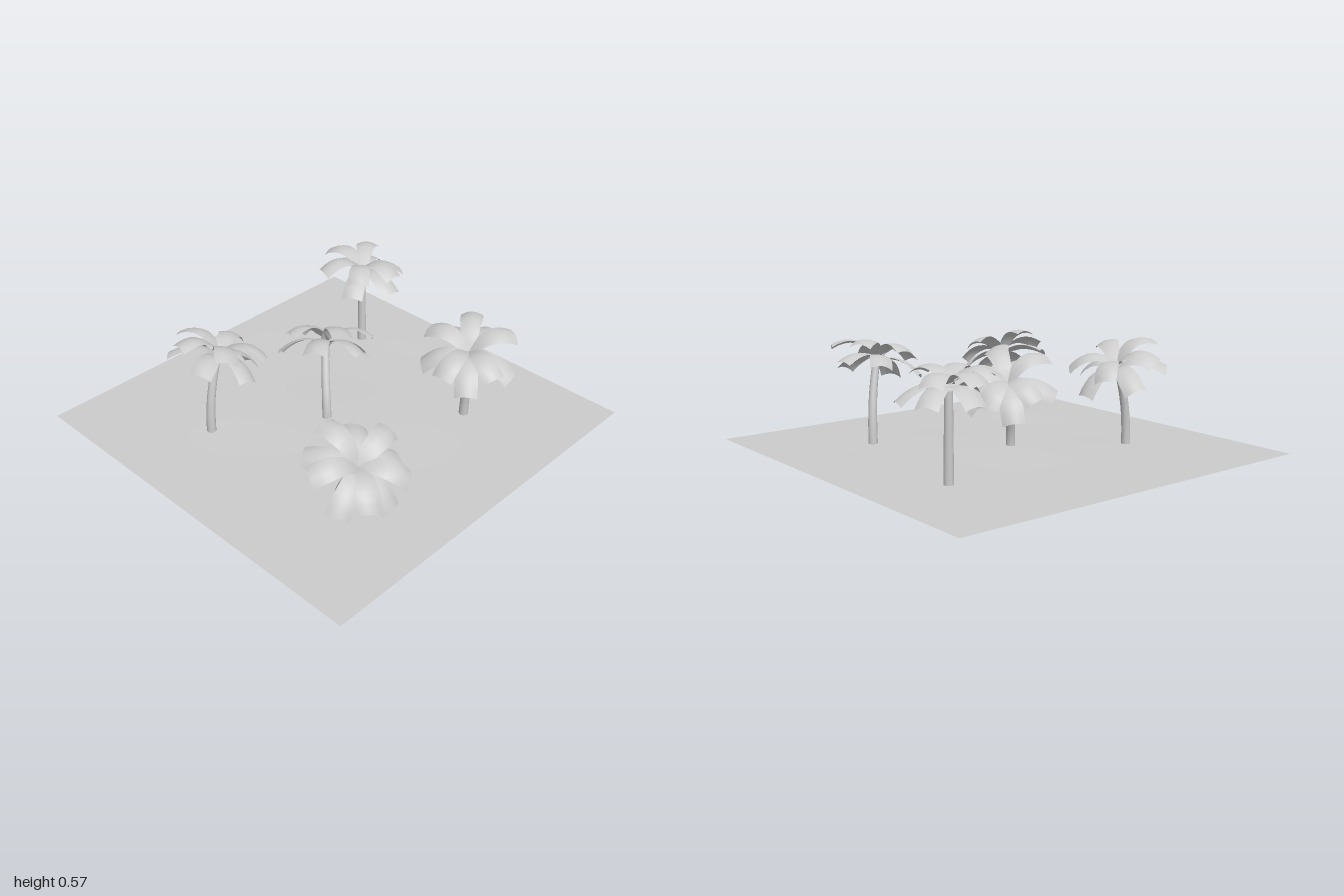
import * as THREE from 'three';

const UP = new THREE.Vector3(0, 1, 0);
const trunkMat = new THREE.MeshStandardMaterial({ color: 0xcccccc });
const thinMat = new THREE.MeshStandardMaterial({ color: 0xcccccc, side: THREE.DoubleSide });

// Each palm: trunk base, trunk top, direction the top leans to, frond angles in degrees (0 = +x, 90 = -z)
const PALMS = [
  { base: [-0.53, 0, -0.35], top: [-0.45, 0.42, -0.365], lean: [0.35, 0.93, -0.03],
    angles: [100, 63, 30, -5, -50, -88, -123, -150, 172, 130] },
  { base: [-0.05, 0.015, -0.02], top: [0.055, 0.36, -0.13], lean: [0.4, 0.85, -0.33],
    angles: [85, 55, 25, -15, -50, -85, -115, -150, 175, 125] },
  { base: [0.61, 0.02, -0.4], top: [0.61, 0.45, -0.405], lean: [0, 1, 0],
    angles: [90, -18, 35, -150, 160, 85, -90, 30, -142, -93] },
  { base: [0.46, 0, 0.45], top: [0.4, 0.43, 0.5], lean: [-0.25, 0.95, 0.12],
    angles: [95, 65, 35, 12, -30, -80, -110, -145, -175, 135] },
  { base: [-0.48, 0.02, 0.48], top: [-0.53, 0.35, 0.63], lean: [-0.12, 0.85, 0.46],
    angles: [90, 45, 10, -20, -55, -85, -120, -150, 160, 125] },
];

// Ground sheet with faint undulation
function makeGround() {
  const geo = new THREE.PlaneGeometry(2, 2, 24, 24).rotateX(-Math.PI / 2);
  const p = geo.attributes.position;
  for (let i = 0; i < p.count; i++) {
    const x = p.getX(i), z = p.getZ(i);
    const fade = (1 - x * x) * (1 - z * z);
    p.setY(i, 0.031 + 0.007 * fade * Math.sin(5 * x + 1) * Math.cos(4 * z - 0.6));
  }
  geo.computeVertexNormals();
  const mesh = new THREE.Mesh(geo, thinMat);
  mesh.name = 'ground';
  return mesh;
}

// Tapered cylinder bent along a curve
function makeTrunk(base, top, lean) {
  const rise = (top.y - base.y) * 0.4;
  const curve = new THREE.CubicBezierCurve3(base, base.clone().addScaledVector(UP, rise),
    top.clone().addScaledVector(lean, -rise), top);
  const geo = new THREE.CylinderGeometry(0.019, 0.024, 1, 12, 12);
  const p = geo.attributes.position, n = geo.attributes.normal;
  const v = new THREE.Vector3(), q = new THREE.Quaternion();
  for (let i = 0; i < p.count; i++) {
    const t = THREE.MathUtils.clamp(p.getY(i) + 0.5, 0, 1);
    q.setFromUnitVectors(UP, curve.getTangent(t));
    v.set(p.getX(i), 0, p.getZ(i)).applyQuaternion(q).add(curve.getPoint(t));
    p.setXYZ(i, v.x, v.y, v.z);
    v.fromBufferAttribute(n, i).applyQuaternion(q);
    n.setXYZ(i, v.x, v.y, v.z);
  }
  const mesh = new THREE.Mesh(geo, trunkMat);
  mesh.name = 'trunk';
  return mesh;
}

// Broad ribbon along +x, widening outward, arched across and drooping at the tip
function makeFrondGeometry(start, slope, droop) {
  const geo = new THREE.PlaneGeometry(1, 1, 8, 6).rotateX(-Math.PI / 2);
  const p = geo.attributes.position;
  for (let i = 0; i < p.count; i++) {
    const t = p.getX(i) + 0.5, u = p.getZ(i);
    const width = 0.06 + 0.05 * Math.min(1, t * 1.5);
    const y = start + slope * t - droop * t * t - 0.07 * u * u * t;
    p.setXYZ(i, 0.235 * t - 0.03 * u * u * t, y, u * width);
  }
  geo.computeVertexNormals();
  return geo;
}

export function createModel() {
  const model = new THREE.Group();
  model.name = 'palmGrove';
  model.add(makeGround());
  const upper = makeFrondGeometry(0.03, 0.24, 0.21);
  const lower = makeFrondGeometry(0.01, 0.13, 0.17);

  for (const { base, top, lean, angles } of PALMS) {
    const tip = new THREE.Vector3(...top);
    const axis = new THREE.Vector3(...lean).normalize();
    const palm = new THREE.Group();
    palm.name = 'palm';
    palm.add(makeTrunk(new THREE.Vector3(...base), tip, axis));

    // Crown tilts with the end of the trunk; fronds alternate between two tiers
    const crown = new THREE.Group();
    crown.name = 'crown';
    crown.position.copy(tip);
    crown.quaternion.setFromUnitVectors(UP, axis);
    angles.forEach((deg, i) => {
      const frond = new THREE.Mesh(i % 2 ? lower : upper, thinMat);
      frond.name = i % 2 ? 'lowerFrond' : 'upperFrond';
      frond.rotation.y = THREE.MathUtils.degToRad(deg);
      crown.add(frond);
    });
    palm.add(crown);
    model.add(palm);
  }
  return model;
}
